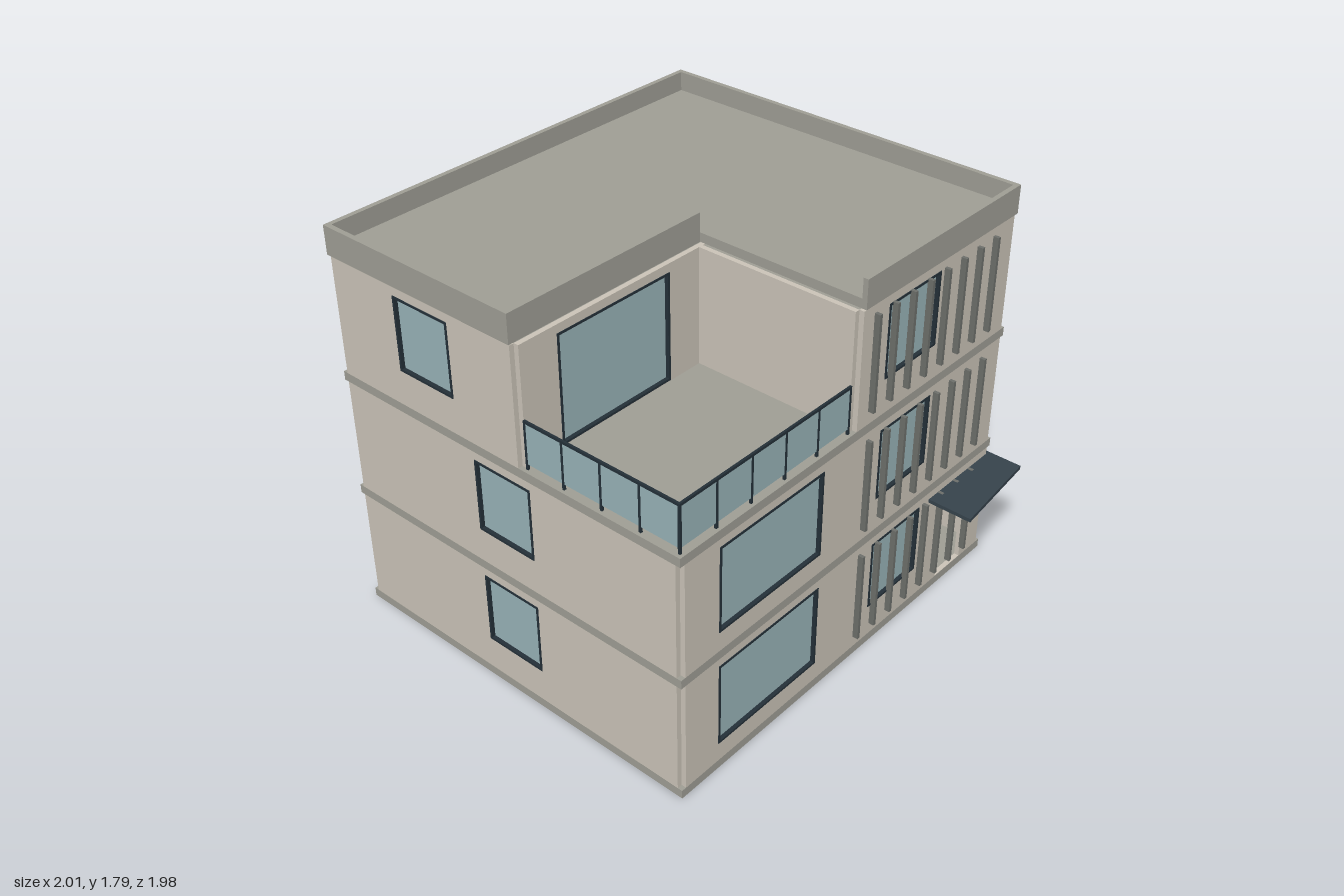
import * as THREE from 'three';

const mat = (name, color) => {
  const m = new THREE.MeshStandardMaterial({ color });
  m.name = name;
  return m;
};

export function createModel() {
  const M = {
    wall: mat('beige plaster', 0xcbc4b8),
    stone: mat('grey concrete', 0x9f9e95),
    glass: mat('blue glass', 0x98b3b7),
    frame: mat('dark frame', 0x243038),
    canopy: mat('slate canopy', 0x36434c),
    fin: mat('grey fin', 0x6d6f6b),
  };
  const model = new THREE.Group();
  model.name = 'building';
  const T = 0.022, ZF = 0.785, ZB = -0.99;
  const storeys = [[0.04, 0.555], [0.595, 1.11], [1.15, 1.67]];

  // box given by its min and max corners
  const box = (name, m, x0, x1, y0, y1, z0, z1, parent = model) => {
    const mesh = new THREE.Mesh(new THREE.BoxGeometry(x1 - x0, y1 - y0, z1 - z0), m);
    mesh.position.set((x0 + x1) / 2, (y0 + y1) / 2, (z0 + z1) / 2);
    mesh.name = name;
    parent.add(mesh);
    return mesh;
  };
  const rect = (C, x0, x1, y0, y1) => {
    const s = new C();
    s.moveTo(x0, y0);
    s.lineTo(x1, y0);
    s.lineTo(x1, y1);
    s.lineTo(x0, y1);
    s.closePath();
    return s;
  };
  const plate = (name, m, shape, depth, z, parent) => {
    const g = new THREE.ExtrudeGeometry(shape, { depth, bevelEnabled: false });
    g.translate(0, 0, z);
    const mesh = new THREE.Mesh(g, m);
    mesh.name = name;
    parent.add(mesh);
  };

  // wall panel: local +z faces outward, outer face at local z = 0
  const wall = (name, angle, x, z, u0, u1, [y0, y1], windows, door) => {
    const g = new THREE.Group();
    g.name = name;
    g.rotation.y = angle;
    g.position.set(x, 0, z);
    const s = rect(THREE.Shape, u0, u1, y0, y1);
    if (door) s.holes.push(rect(THREE.Path, ...door));
    for (const [a, b, c, d] of windows) {
      s.holes.push(rect(THREE.Path, a, b, c, d));
      const f = rect(THREE.Shape, a, b, c, d), w = 0.01;
      f.holes.push(rect(THREE.Path, a + w, b - w, c + w, d - w));
      plate('windowFrame', M.frame, f, T + 0.003, -T, g);
      box('windowGlass', M.glass, a + w, b - w, c + w, d - w, -0.02, -0.014, g);
    }
    plate('wallPanel', M.wall, s, T, -T, g);
    model.add(g);
  };

  // floor slabs that show as bands
  for (const y of [0, 0.555, 1.11]) box('floorSlab', M.stone, -1, 1, y, y + 0.04, ZB, ZF);

  // walls of each storey; corners stay notched
  storeys.forEach((h, i) => {
    const o = [0, 0.555, 1.113][i], top = i === 2;
    const lo = 0.195 + o, hi = 0.52 + o;
    const small = [0.145, 0.475, lo, hi];
    const big = [-0.795, -0.205, top ? 1.155 : 0.13 + o, hi];
    if (top) {
      wall('upperFrontWall', 0, 0, ZF, -0.035 + T, 1 - T, h, [small]);
      wall('terraceBackWall', 0, 0, 0.025, -1 + T, 0, h, [big]);
      wall('terraceSideWall', -Math.PI / 2, -0.035, 0, 0.003, ZF - T, h, []);
    } else {
      wall('frontWall', 0, 0, ZF, -1 + T, 1 - T, h, [big, small],
        i === 0 ? [0.655, 0.84, 0.042, 0.475] : null);
    }
    wall('rightSideWall', Math.PI / 2, 1, 0, -ZF + T, -ZB - T, h,
      [[-0.465, -0.14, lo, hi], [0.5, 0.715, lo, hi]]);
    wall('backWall', Math.PI, 0, ZB, -1 + T, 1 - T, h,
      [[0.31, 0.675, lo, hi], [-0.318, -0.14, 0.285 + o, 0.475 + o]]);
    const z = top ? -0.62 : -0.24;
    wall('leftSideWall', -Math.PI / 2, -1, 0, ZB + T, top ? 0.003 : ZF - T, h,
      [[z, z + 0.295, lo, hi]]);
  });

  // L-shaped roof deck and parapets
  box('roofDeck', M.stone, -1, 1, 1.67, 1.71, ZB, 0);
  box('roofDeckFront', M.stone, 0, 1, 1.67, 1.71, 0, ZF);
  const parapet = (x0, x1, z0, z1) => box('parapet', M.stone, x0, x1, 1.67, 1.795, z0, z1);
  parapet(-1, 1, ZB, ZB + T);
  parapet(1 - T, 1, ZB + T, ZF - T);
  parapet(0, 1, ZF - T, ZF);
  parapet(-1, -1 + T, ZB + T, -T);
  parapet(-1, 0, -T, 0);

  // vertical sun fins on the front
  for (const [y0, y1] of [[0.095, 0.522], [0.652, 1.078], [1.21, 1.635]])
    for (let i = 0; i < 8; i++) {
      const x = 0.06 + i * 0.1113;
      box('sunFin', M.fin, x - 0.0075, x + 0.0075, y0, y1, ZF, ZF + 0.025);
    }

  // entrance canopy with a slanted front edge
  const c = new THREE.Shape();
  c.moveTo(0.545, -0.765);
  c.lineTo(0.545, -0.99);
  c.lineTo(1, -0.945);
  c.lineTo(1, -0.765);
  c.closePath();
  const cg = new THREE.ExtrudeGeometry(c, { depth: 0.017, bevelEnabled: false });
  cg.rotateX(-Math.PI / 2);
  const canopy = new THREE.Mesh(cg, M.canopy);
  canopy.position.y = 0.504;
  canopy.name = 'entranceCanopy';
  model.add(canopy);

  // terrace railing: glass, top rail and posts
  const rx0 = -0.98, rx1 = -0.045, rz0 = 0.028, rz1 = 0.766, p = 0.005;
  box('railingGlassFront', M.glass, rx0, rx1, 1.175, 1.355, rz1 - 0.003, rz1 + 0.003);
  box('railingGlassSide', M.glass, rx0 - 0.003, rx0 + 0.003, 1.175, 1.355, rz0, rz1);
  box('railFront', M.frame, rx0 - p, rx1 + p, 1.352, 1.363, rz1 - p, rz1 + p);
  box('railSide', M.frame, rx0 - p, rx0 + p, 1.352, 1.363, rz0, rz1);
  const post = (x, z) => box('railingPost', M.frame, x - p, x + p, 1.15, 1.355, z - p, z + p);
  for (let i = 0; i <= 5; i++) post(rx0 + (rx1 - rx0) * i / 5, rz1);
  for (let i = 0; i < 4; i++) post(rx0, rz0 + p + (rz1 - rz0) * i / 4);

  // stairwell behind the entrance
  box('stairwellBack', M.wall, 0.48, 0.978, 0.04, 0.555, 0.18, 0.2);
  box('stairwellSide', M.wall, 0.48, 0.5, 0.04, 0.555, 0.2, 0.76);
  box('stairLanding', M.wall, 0.5, 0.978, 0.31, 0.33, 0.2, 0.35);
  for (let i = 0; i < 9; i++) {
    const z = 0.65 - i * 0.033, y = 0.055 + i * 0.029;
    box('lowerStep', M.wall, 0.5, 0.685, y, y + 0.015, z - 0.036, z);
  }
  for (let i = 0; i < 7; i++) {
    const z = 0.35 + i * 0.036, y = 0.345 + i * 0.027;
    box('upperStep', M.wall, 0.71, 0.978, y, y + 0.015, z, z + 0.039);
  }
  const rail = box('stairHandrail', M.frame, 0.682, 0.692, 0.35, 0.36, 0.32, 0.68);
  rail.rotation.x = 0.6;
  return model;
}
